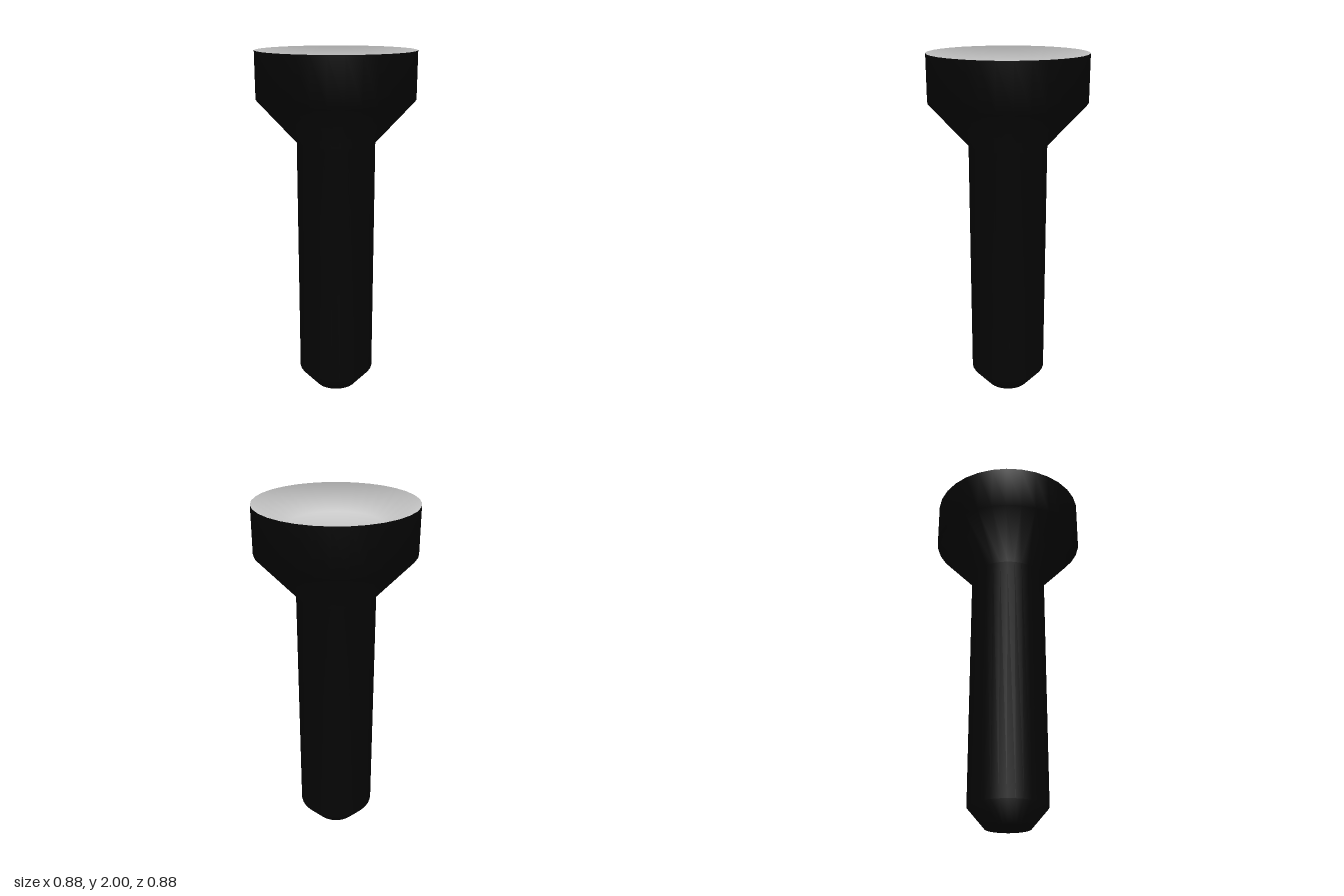
import * as THREE from 'three';

const SIDES = 32;
const RIM = 0.44;

// Turned part from [radius, height] pairs, listed from the bottom outward
function turned(name, profile, color) {
  const points = profile.map(([r, y]) => new THREE.Vector2(r, y));
  const geometry = new THREE.LatheGeometry(points, SIDES);
  const material = new THREE.MeshStandardMaterial({ color, side: THREE.DoubleSide });
  const mesh = new THREE.Mesh(geometry, material);
  mesh.name = name;
  return mesh;
}

export function createModel() {
  const group = new THREE.Group();
  group.name = 'flashlight';

  // Black casing: chamfered tail, straight handle, flared head
  group.add(turned('casing', [
    [0, 0], [0.125, 0], [0.22, 0.11], [0.22, 1.5], [RIM, 1.74], [RIM, 2],
  ], 0x050505));

  // Shallow dished reflector set into the head
  const reflector = turned('reflector', [
    [RIM, 2], [0.26, 1.88], [0, 1.88],
  ], 0xcccccc);

  // Soften the rim so that its shading rolls over into the casing wall
  const { position, normal } = reflector.geometry.attributes;
  const n = new THREE.Vector3();
  for (let i = 0; i < position.count; i++) {
    if (position.getY(i) < 1.99) continue;
    n.set(position.getX(i), RIM * 1.6, position.getZ(i)).normalize();
    normal.setXYZ(i, n.x, n.y, n.z);
  }
  group.add(reflector);

  return group;
}
